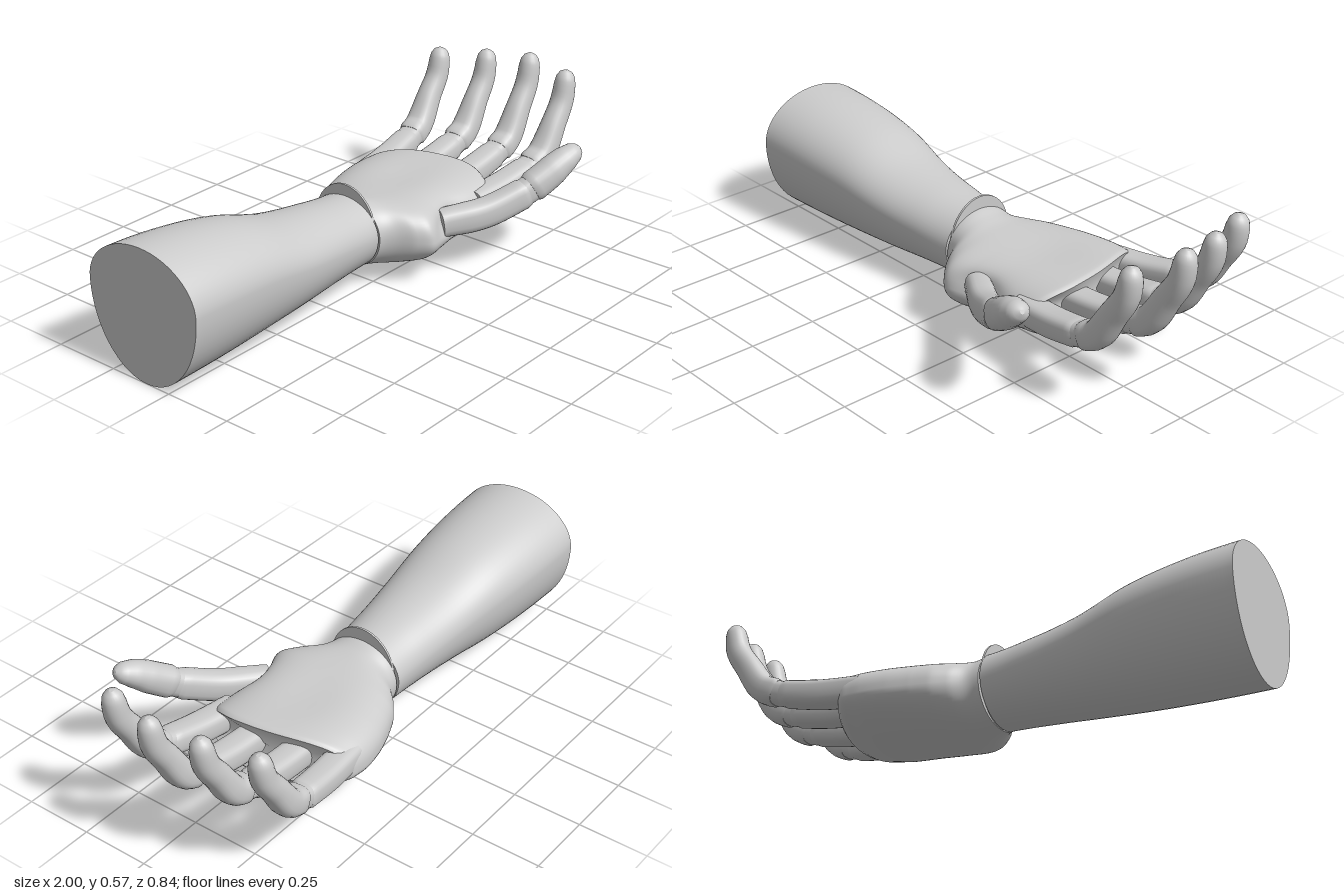
import * as THREE from 'three';

const material = new THREE.MeshStandardMaterial({ color: 0xcccccc, side: THREE.DoubleSide });
const V = (x, y, z) => new THREE.Vector3(x, y, z);
const spow = (v, n) => Math.sign(v) * Math.pow(Math.abs(v), 2 / n);

// Skin a list of closed rings; both ends get flat caps with their own normals
function loft(name, rings) {
  const pos = [], idx = [], n = rings[0].length;
  rings.forEach(r => r.forEach(p => pos.push(p.x, p.y, p.z)));
  for (let i = 0; i < rings.length - 1; i++) {
    for (let j = 0; j < n; j++) {
      const a = i * n + j, b = i * n + (j + 1) % n;
      idx.push(a, b, a + n, b, b + n, a + n);
    }
  }
  [rings[0], rings[rings.length - 1]].forEach((r, end) => {
    const c = r.reduce((s, p) => s.add(p), V(0, 0, 0)).divideScalar(n);
    const k = pos.length / 3;
    pos.push(c.x, c.y, c.z);
    r.forEach(p => pos.push(p.x, p.y, p.z));
    for (let j = 0; j < n; j++) {
      const a = k + 1 + j, b = k + 1 + (j + 1) % n;
      end ? idx.push(k, a, b) : idx.push(k, b, a);
    }
  });
  const g = new THREE.BufferGeometry();
  g.setAttribute('position', new THREE.Float32BufferAttribute(pos, 3));
  g.setIndex(idx);
  g.computeVertexNormals();
  const mesh = new THREE.Mesh(g, material);
  mesh.name = name;
  return mesh;
}

// Smooth interpolation through rows whose first entry is the position
function sampler(rows) {
  const last = rows.length - 1;
  return t => {
    let i = 0;
    while (i < last - 1 && t > rows[i + 1][0]) i++;
    const f = THREE.MathUtils.clamp((t - rows[i][0]) / (rows[i + 1][0] - rows[i][0]), 0, 1);
    const [a, b, c, d] = [Math.max(i - 1, 0), i, i + 1, Math.min(i + 2, last)].map(k => rows[k]);
    return b.slice(1).map((_, k) => cubic(a[k + 1], b[k + 1], c[k + 1], d[k + 1], f));
  };
}
function cubic(a, b, c, d, t) {
  const m0 = (c - a) / 2, m1 = (d - b) / 2, t2 = t * t, t3 = t2 * t;
  return (2 * t3 - 3 * t2 + 1) * b + (t3 - 2 * t2 + t) * m0 + (3 * t2 - 2 * t3) * c + (t3 - t2) * m1;
}

// Sweep a rounded cross-section along a path; profile rows are [t, width, height, roundness]
function sweep(name, points, profile, side, count = 24) {
  const curve = new THREE.CatmullRomCurve3(points, false, 'centripetal');
  const ts = [];
  for (let i = 0; i < profile.length - 1; i++) {
    const steps = Math.max(1, Math.ceil((profile[i + 1][0] - profile[i][0]) / 0.06));
    for (let k = 0; k < steps; k++) ts.push([i, k / steps]);
  }
  ts.push([profile.length - 2, 1]);
  return loft(name, ts.map(([i, f]) => {
    const [t, w, h, n] = profile[i].map((v, k) => THREE.MathUtils.lerp(v, profile[i + 1][k], f));
    const c = curve.getPointAt(t), dir = curve.getTangentAt(t);
    const s = side.clone().addScaledVector(dir, -side.dot(dir)).normalize();
    const up = dir.clone().cross(s);
    return Array.from({ length: count }, (_, j) => {
      const a = j / count * Math.PI * 2;
      return c.clone().addScaledVector(s, w / 2 * spow(Math.cos(a), n))
        .addScaledVector(up, h / 2 * spow(Math.sin(a), n));
    });
  }));
}

// Forearm, widest above its middle: rows are x, bottom, widest height, top, zMin, zMax
function makeForearm() {
  const at = sampler([
    [-1, 0, 0.305, 0.477, -0.332, 0.137], [-0.8, 0.004, 0.295, 0.463, -0.325, 0.13],
    [-0.6, 0.014, 0.275, 0.43, -0.305, 0.115], [-0.4, 0.033, 0.24, 0.37, -0.27, 0.097],
    [-0.2, 0.05, 0.215, 0.338, -0.246, 0.075], [-0.05, 0.06, 0.2, 0.322, -0.235, 0.065],
  ]);
  return loft('forearm', Array.from({ length: 31 }, (_, i) => {
    const x = -1 + 0.95 * i / 30, [b, m, t, z0, z1] = at(x);
    return Array.from({ length: 56 }, (_, j) => {
      const a = j / 56 * Math.PI * 2, s = Math.sin(a);
      return V(x, m + (s > 0 ? t - m : m - b) * s, (z0 + z1) / 2 - (z1 - z0) / 2 * Math.cos(a));
    });
  }));
}

// Palm: rows are u, bottom, widest height, top, zMin, zMax, upper roundness
function makePalm() {
  const at = sampler([
    [0, 0.062, 0.195, 0.318, -0.232, 0.065, 2], [0.08, 0.058, 0.188, 0.306, -0.242, 0.095, 2.1],
    [0.17, 0.054, 0.178, 0.297, -0.282, 0.155, 2.4], [0.28, 0.05, 0.17, 0.295, -0.318, 0.195, 2.6],
    [0.42, 0.052, 0.166, 0.295, -0.345, 0.185, 2.6], [0.6, 0.058, 0.164, 0.295, -0.37, 0.17, 2.6],
    [0.8, 0.07, 0.164, 0.295, -0.385, 0.168, 2.6], [0.95, 0.09, 0.166, 0.294, -0.385, 0.168, 2.6],
    [0.985, 0.1, 0.168, 0.292, -0.382, 0.165, 2.6], [1, 0.113, 0.172, 0.285, -0.374, 0.157, 2.6],
  ]);
  return loft('palm', Array.from({ length: 61 }, (_, i) => {
    const u = i / 60, [b, m, t, z0, z1, n] = at(u);
    return Array.from({ length: 72 }, (_, j) => {
      const a = j / 72 * Math.PI * 2, upper = Math.sin(a) >= 0, e = upper ? n : 2.1;
      let z = (z0 + z1) / 2 - (z1 - z0) / 2 * spow(Math.cos(a), e);
      let y = m + (upper ? t - m : m - b) * spow(Math.sin(a), e);
      // slanted, bowed knuckle edge leaning slightly back toward the top
      const lean = 0.012 * Math.max(0, (y - 0.15) / 0.14);
      const front = 0.537 - (z < 0 ? 0.84 : 2.6) * z * z - lean;
      const x = THREE.MathUtils.lerp(-0.042, front, u);
      // shallow cup in the palm and a socket around the thumb root
      if (upper) y -= 0.012 * Math.exp(-((x - 0.28) ** 2) / 0.025 - ((z + 0.1) ** 2) / 0.015);
      if (z > 0) z -= 0.03 * Math.exp(-((x - 0.23) ** 2) / 0.009 - ((y - 0.21) ** 2) / 0.002) * Math.min(1, z / 0.1);
      return V(x, y, z);
    });
  }));
}

// Finger: boxy lower segment, recessed joint, curved rounded upper segment
function makeFinger(name, dx, zBase, zTip, lift) {
  const g = new THREE.Group();
  g.name = name;
  const p = (x, y) => V(x + dx, y + lift * Math.max(0, (y - 0.24) / 0.33),
    THREE.MathUtils.lerp(zBase, zTip, Math.min(1, (x - 0.45) / 0.42)));
  const side = V(0, 0, -1);
  g.add(sweep('lowerSegment', [p(0.45, 0.196), p(0.6, 0.208), p(0.745, 0.234)],
    [[0, 0.102, 0.096, 3.2], [0.5, 0.101, 0.094, 3.2], [0.95, 0.098, 0.09, 3], [1, 0.09, 0.082, 2.8]], side));
  g.add(sweep('joint', [p(0.73, 0.231), p(0.79, 0.25)],
    [[0, 0.09, 0.084, 2.8], [1, 0.09, 0.084, 2.8]], side));
  g.add(sweep('upperSegment',
    [p(0.768, 0.243), p(0.825, 0.272), p(0.893, 0.376), p(0.943, 0.46), p(0.963, 0.573)],
    [[0, 0.09, 0.088, 2.8], [0.03, 0.101, 0.097, 2.8], [0.25, 0.098, 0.098, 2.5], [0.5, 0.087, 0.092, 2.2],
      [0.75, 0.083, 0.086, 2.1], [0.87, 0.079, 0.08, 2], [0.94, 0.068, 0.067, 2], [0.98, 0.047, 0.045, 2],
      [1, 0.015, 0.015, 2]], side));
  return g;
}

// Thumb: root buried in the socket, joint and rounded tip
function makeThumb() {
  const g = new THREE.Group();
  g.name = 'thumb';
  const side = V(0.5, 0, -0.87);
  g.add(sweep('lowerSegment', [V(0.2, 0.195, 0.14), V(0.34, 0.214, 0.232), V(0.475, 0.266, 0.307)],
    [[0, 0.09, 0.1, 2.6], [0.3, 0.096, 0.106, 2.8], [0.94, 0.092, 0.104, 2.8], [1, 0.084, 0.096, 2.6]], side));
  g.add(sweep('joint', [V(0.46, 0.26, 0.299), V(0.515, 0.292, 0.326)],
    [[0, 0.084, 0.096, 2.6], [1, 0.084, 0.096, 2.6]], side));
  g.add(sweep('upperSegment', [V(0.49, 0.277, 0.314), V(0.55, 0.316, 0.342), V(0.61, 0.357, 0.366), V(0.68, 0.393, 0.388)],
    [[0, 0.088, 0.1, 2.5], [0.06, 0.1, 0.11, 2.5], [0.45, 0.106, 0.108, 2.2], [0.7, 0.098, 0.094, 2],
      [0.88, 0.077, 0.071, 2], [0.96, 0.05, 0.046, 2], [1, 0.015, 0.015, 2]], side));
  return g;
}

export function createModel() {
  const model = new THREE.Group();
  model.name = 'forearmAndHand';
  model.add(makeForearm(), makePalm());

  // Thin wrist plate standing slightly proud on top
  const plate = new THREE.Mesh(new THREE.CylinderGeometry(1, 1, 0.008, 48), material);
  plate.name = 'wristPlate';
  plate.rotation.z = Math.PI / 2;
  plate.scale.set(0.15, 1, 0.132);
  plate.position.set(-0.046, 0.214, -0.085);
  model.add(plate);

  [['firstFinger', -0.045, 0.122, 0.163, -0.01], ['secondFinger', 0, -0.03, -0.028, 0],
    ['thirdFinger', -0.035, -0.195, -0.203, -0.016], ['fourthFinger', -0.095, -0.325, -0.38, -0.032],
  ].forEach(f => model.add(makeFinger(...f)));
  model.add(makeThumb());
  return model;
}
